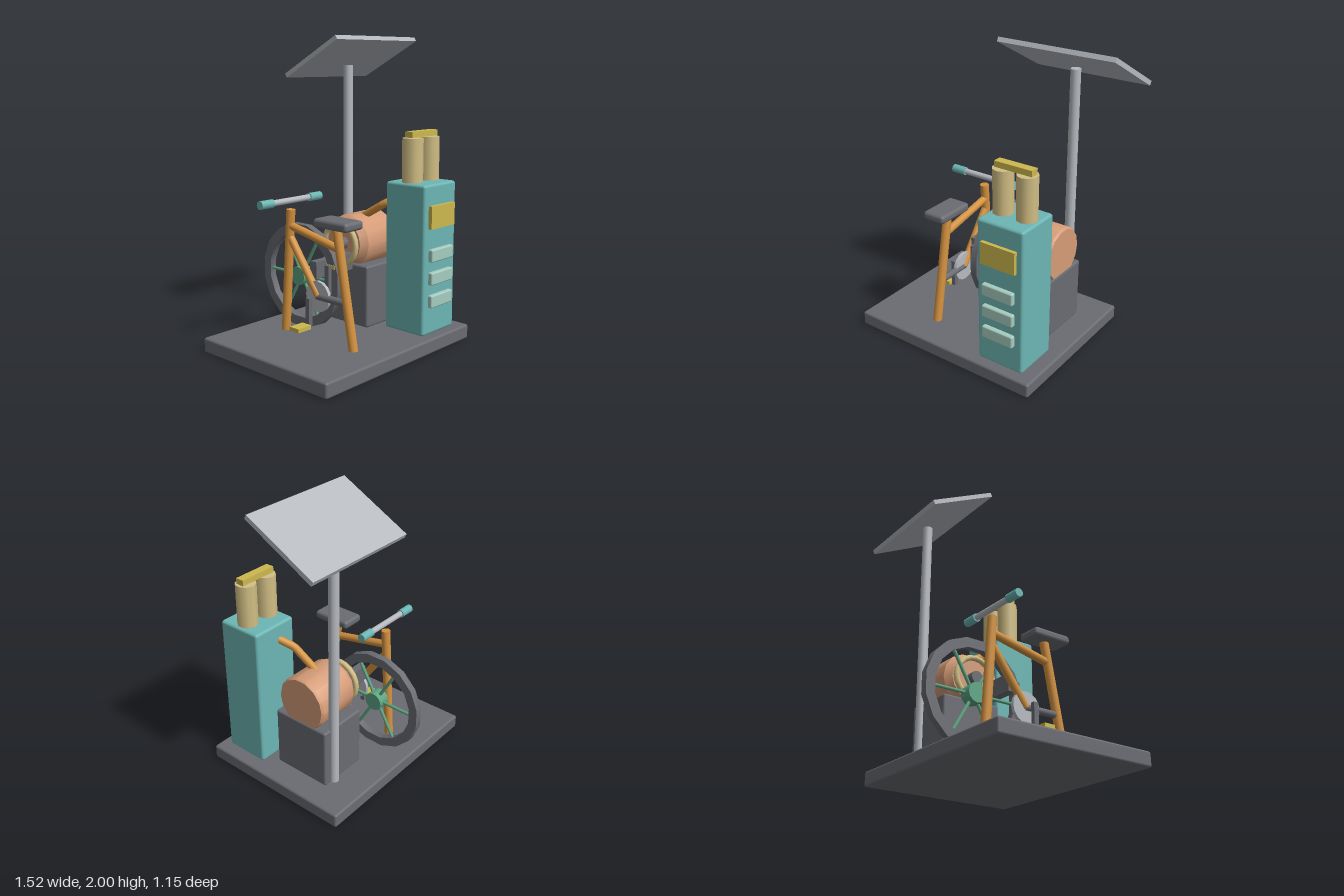
import * as THREE from 'three';
import { toCreasedNormals } from 'three/addons/utils/BufferGeometryUtils.js';
import { RoundedBoxGeometry } from 'three/addons/geometries/RoundedBoxGeometry.js';

const mat = (name, color) => Object.assign(new THREE.MeshStandardMaterial({ color }), { name });

export function createModel() {
  const root = new THREE.Group();
  const dark = mat('dark grey', 0x6a6c72), metal = mat('light metal', 0xb6babf);
  const teal = mat('teal', 0x6cb6b4), mint = mat('pale mint', 0xa6ccc0);
  const tan = mat('tan', 0xd2bf85), yellow = mat('yellow', 0xcdb84e);
  const copper = mat('copper', 0xd59c78), orange = mat('orange', 0xd4923f);
  const green = mat('green', 0x5ea584);

  const add = (name, geo, material, parent = root) => {
    const m = new THREE.Mesh(geo, material);
    m.name = name;
    parent.add(m);
    return m;
  };
  // Box given by its limits on each axis, optionally with rounded edges
  const box = (name, material, [x0, x1], [y0, y1], [z0, z1], r = 0) => {
    const s = [x1 - x0, y1 - y0, z1 - z0];
    const g = r ? new RoundedBoxGeometry(...s, 2, r) : new THREE.BoxGeometry(...s);
    const m = add(name, g, material);
    m.position.set((x0 + x1) / 2, (y0 + y1) / 2, (z0 + z1) / 2);
    return m;
  };
  // Straight round bar between two points
  const bar = (name, material, a, b, r, sides = 12, parent = root) => {
    const p = new THREE.Vector3(...a), q = new THREE.Vector3(...b);
    const d = q.clone().sub(p);
    const m = add(name, new THREE.CylinderGeometry(r, r, d.length(), sides), material, parent);
    m.position.copy(p).add(q).multiplyScalar(0.5);
    m.quaternion.setFromUnitVectors(new THREE.Vector3(0, 1, 0), d.normalize());
    return m;
  };

  // Floor slab
  box('base', dark, [-0.76, 0.61], [0, 0.097], [-0.515, 0.575], 0.015);

  // Cabinet with plate, drawers and twin canisters
  box('cabinet', teal, [0.19, 0.522], [0.097, 1.075], [0.195, 0.51], 0.018);
  box('cabinetPlate', yellow, [0.232, 0.478], [0.795, 0.942], [0.5, 0.535]);
  for (const y of [0.28, 0.43, 0.58])
    box('drawer', mint, [0.24, 0.466], [y, y + 0.083], [0.49, 0.54], 0.01);
  for (const x of [0.268, 0.438])
    bar('canister', tan, [x, 1.06, 0.35], [x, 1.358, 0.35], 0.068, 10);
  box('canisterBridge', yellow, [0.222, 0.486], [1.362, 1.4], [0.322, 0.38]);

  // Generator block and chamfered drum
  box('generatorBlock', dark, [0.085, 0.44], [0.095, 0.512], [-0.285, 0.13], 0.015);
  const profile = [[0, 0], [0.145, 0], [0.182, 0.045], [0.182, 0.33], [0.172, 0.345], [0, 0.345]]
    .map(([r, h]) => new THREE.Vector2(r, h));
  const drum = add('drum', toCreasedNormals(new THREE.LatheGeometry(profile, 14), 0.6), copper);
  drum.rotation.z = -Math.PI / 2;
  drum.position.set(0.088, 0.645, -0.08);
  const ring = add('pulleyRing', new THREE.TorusGeometry(0.138, 0.019, 8, 20), tan);
  ring.rotation.y = Math.PI / 2;
  ring.position.set(0.053, 0.64, -0.08);
  bar('drumShaft', dark, [0.025, 0.642, -0.08], [0.1, 0.642, -0.08], 0.042);
  box('linkBeam', dark, [-0.255, 0.1], [0.475, 0.585], [-0.055, 0]);

  // Pipe from drum to cabinet
  const pipe = new THREE.CurvePath();
  const pts = [[0.26, 0.79, -0.08], [0.26, 0.9, 0.11], [0.267, 0.915, 0.135], [0.32, 0.963, 0.22]]
    .map((p) => new THREE.Vector3(...p));
  for (let i = 0; i < 3; i++) pipe.add(new THREE.LineCurve3(pts[i], pts[i + 1]));
  add('pipe', new THREE.TubeGeometry(pipe, 24, 0.026, 10), orange);

  // Mast with tilted panel
  bar('mast', metal, [0.352, 0.09, -0.283], [0.352, 1.812, -0.283], 0.033, 16);
  const panel = add('panel', new THREE.BoxGeometry(0.802, 0.03, 0.522), metal);
  panel.position.set(0.356, 1.864, -0.253);
  panel.rotation.x = -0.488;

  // Spoked flywheel, its axle along x
  const wheel = new THREE.Group();
  wheel.name = 'flywheel';
  wheel.position.set(-0.152, 0.441, -0.234);
  root.add(wheel);
  const circle = (Path, r) => {
    const pts2 = [];
    for (let i = 0; i < 16; i++) {
      const a = (i + 0.5) * Math.PI / 8;
      pts2.push(new THREE.Vector2(r * Math.cos(a), r * Math.sin(a)));
    }
    return new Path(pts2);
  };
  const rimShape = circle(THREE.Shape, 0.35);
  rimShape.holes.push(circle(THREE.Path, 0.287));
  const rimGeo = new THREE.ExtrudeGeometry(rimShape, { depth: 0.048, bevelEnabled: false });
  rimGeo.translate(0, 0, -0.024).rotateY(Math.PI / 2);
  add('rim', toCreasedNormals(rimGeo, 0.6), dark, wheel);
  bar('hub', green, [-0.044, 0, 0], [0.04, 0, 0], 0.064, 12, wheel);
  for (let i = 0; i < 6; i++) {
    const a = i * Math.PI / 3;
    bar('spoke', green, [0, 0, 0], [0, 0.295 * Math.sin(a), 0.295 * Math.cos(a)], 0.011, 8, wheel);
  }

  // Cycle frame
  const X = -0.285;
  bar('fork', orange, [X, 0.09, -0.252], [X, 0.905, -0.195], 0.03);
  bar('seatTube', orange, [X, 0.09, 0.345], [X, 0.85, 0.205], 0.03);
  bar('topTube', orange, [X, 0.8, -0.2], [X, 0.71, 0.23], 0.026);
  bar('downTube', orange, [X, 0.73, -0.205], [X, 0.38, 0.05], 0.026);
  bar('chainStay', dark, [X, 0.38, 0.04], [X, 0.38, 0.29], 0.023);
  box('seat', dark, [-0.367, -0.202], [0.838, 0.896], [0.078, 0.355], 0.022);

  // Handlebar with grips
  bar('handlebar', metal, [-0.54, 0.963, -0.195], [-0.025, 0.963, -0.195], 0.02);
  for (const x of [-0.547, -0.125])
    bar('grip', teal, [x, 0.963, -0.195], [x + 0.103, 0.963, -0.195], 0.028);

  // Chainring, cranks and pedals
  bar('chainring', metal, [-0.296, 0.38, 0.048], [-0.274, 0.38, 0.048], 0.1, 16);
  for (const [x, y, px, py] of [[-0.385, 0.2, -0.5, 0.2], [-0.213, 0.375, -0.18, 0.536]]) {
    box('crank', dark, [x, x + 0.028], [y, y + 0.188], [0.032, 0.065]);
    box('pedal', yellow, [px, px + 0.11], [py, py + 0.026], [0.01, 0.086]);
  }
  return root;
}
